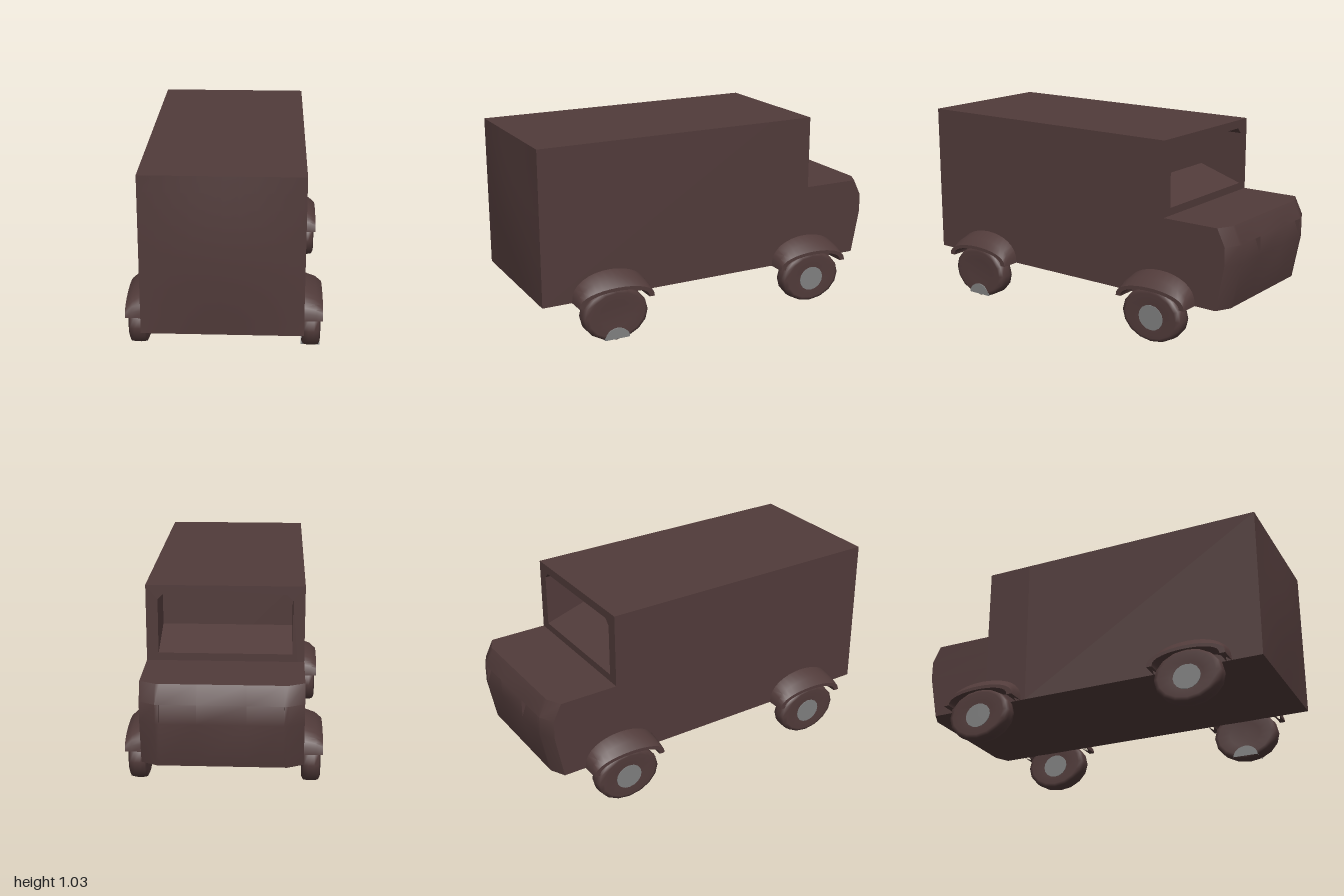
import * as THREE from 'three';
import { toCreasedNormals } from 'three/addons/utils/BufferGeometryUtils.js';

// Surface from rows and columns of points; fn(i, j) returns [x, y, z]
function grid(nu, nv, fn, crease = 0.6) {
  const pos = [], idx = [];
  for (let j = 0; j <= nv; j++) for (let i = 0; i <= nu; i++) pos.push(...fn(i, j));
  for (let j = 0; j < nv; j++) {
    for (let i = 0; i < nu; i++) {
      const a = j * (nu + 1) + i, d = a + nu + 1;
      idx.push(a, a + 1, d + 1, a, d + 1, d);
    }
  }
  const g = new THREE.BufferGeometry();
  g.setAttribute('position', new THREE.Float32BufferAttribute(pos, 3));
  g.setIndex(idx);
  return toCreasedNormals(g, crease);
}

export function createModel() {
  const model = new THREE.Group();
  const brown = new THREE.MeshStandardMaterial({ color: 0x513b3a });
  brown.name = 'darkBrown';
  const grey = new THREE.MeshStandardMaterial({ color: 0x808080 });
  grey.name = 'hubGrey';
  const add = (name, geo, mat, parent = model) => {
    const m = new THREE.Mesh(geo, mat);
    m.name = name;
    parent.add(m);
    return m;
  };

  const W = 0.4, Y0 = 0.215, Y1 = 1.035, END = 0.98, CAB = -0.6, RECESS = 0.25;

  // Cargo body
  const len = END - CAB - RECESS;
  add('body', new THREE.BoxGeometry(2 * W, Y1 - Y0, len), brown)
    .position.set(0, (Y0 + Y1) / 2, END - len / 2);

  // Gently bulged end panel
  const n = 10;
  add('endPanel', grid(n, n, (i, j) => {
    const u = i / n, v = j / n;
    const bulge = 0.02 * Math.sin(Math.PI * u) * Math.sin(Math.PI * v);
    return [-W + 2 * W * u, Y0 + (Y1 - Y0) * v, END + bulge];
  }), brown);

  // Cab frame around the recessed windscreen, its sill rising inwards
  const frame = new THREE.Shape([[-W, Y0], [W, Y0], [W, Y1], [-W, Y1]]
    .map(p => new THREE.Vector2(...p)));
  frame.holes.push(new THREE.Path([[-0.34, 0.68], [-0.34, 0.96], [-0.31, 0.99],
    [0.31, 0.99], [0.34, 0.96], [0.34, 0.68]].map(p => new THREE.Vector2(...p))));
  const cab = new THREE.ExtrudeGeometry(frame, { depth: RECESS, bevelEnabled: false });
  const cp = cab.attributes.position;
  for (let i = 0; i < cp.count; i++) {
    if (cp.getZ(i) > 0.1 && Math.abs(cp.getX(i)) < 0.39 && cp.getY(i) < 0.7) cp.setY(i, 0.76);
  }
  cab.computeVertexNormals();
  add('cabFrame', cab, brown).position.z = CAB;

  // Nose with chamfered corners and two wedge-shaped lamp pockets
  const xs = [0.4, 0.4, 0.32, 0.3, 0.3, 0.12, 0.12, -0.12, -0.12, -0.3, -0.3, -0.32, -0.4, -0.4];
  const rows = [[Y0, CAB], [Y0, -0.955], [0.45, -1], [0.55, -1], [0.55, -1], [0.64, -0.955], [0.64, CAB]];
  add('nose', grid(xs.length - 1, rows.length - 1, (i, j) => {
    let [y, z] = rows[j];
    if (i === 0 || i === xs.length - 1) z = CAB;
    else if (z < CAB && Math.abs(xs[i]) === 0.4) z += 0.04;
    if (j === 3 && [4, 5, 8, 9].includes(i)) z += 0.035;
    return [xs[i], y, z];
  }, 0.55), brown);

  // Wheel arch: profile entries are x, half length and height
  const arch = [[0.395, 0.21, 0.15], [0.465, 0.21, 0.12], [0.5, 0.21, 0.08],
    [0.5, 0.18, 0.062], [0.395, 0.18, 0.062]];
  const N = 16;
  const archGeo = grid(arch.length - 1, N + 2, (i, j) => {
    if (j === 0 || j === N + 2) return [0.45, Y0, j === 0 ? 0.195 : -0.195];
    const a = Math.PI * (j - 1) / N;
    const [x, r, h] = arch[i];
    return [x, Y0 + h * Math.pow(Math.max(0, Math.sin(a)), 0.8), r * Math.cos(a)];
  });

  // Tyre, slightly dished on both faces and wider than tall
  const tyreGeo = new THREE.LatheGeometry([[0, -0.04], [0.5, -0.04], [0.85, -0.047], [0.97, -0.038],
    [1, -0.015], [1, 0.015], [0.97, 0.038], [0.85, 0.047], [0.5, 0.04], [0, 0.04]]
    .map(p => new THREE.Vector2(...p)), 16);
  tyreGeo.rotateZ(Math.PI / 2).scale(1, 0.142, 0.182);
  const hubGeo = new THREE.CylinderGeometry(1, 1, 0.086, 16);
  hubGeo.rotateZ(Math.PI / 2).scale(1, 0.067, 0.074);
  const halfHubGeo = new THREE.CylinderGeometry(1, 1, 0.097, 12, 1, false, 0, Math.PI);
  halfHubGeo.rotateZ(Math.PI / 2).scale(1, 0.058, 0.07);

  for (const [end, z] of [['front', 0.61], ['rear', -0.585]]) {
    for (const side of [1, -1]) {
      const label = end + (side > 0 ? 'Left' : 'Right');
      const fender = add(label + 'Arch', archGeo, brown);
      fender.position.z = z;
      if (side < 0) fender.rotation.y = Math.PI;
      const wheel = new THREE.Group();
      wheel.name = label + 'Wheel';
      wheel.position.set(side * 0.443, 0.142, z);
      model.add(wheel);
      add('tyre', tyreGeo, brown, wheel);
      // One wheel carries a low half hub
      if (label === 'frontLeft') add('hub', halfHubGeo, grey, wheel).position.y = -0.13;
      else add('hub', hubGeo, grey, wheel).position.y = -0.01;
    }
  }
  return model;
}
